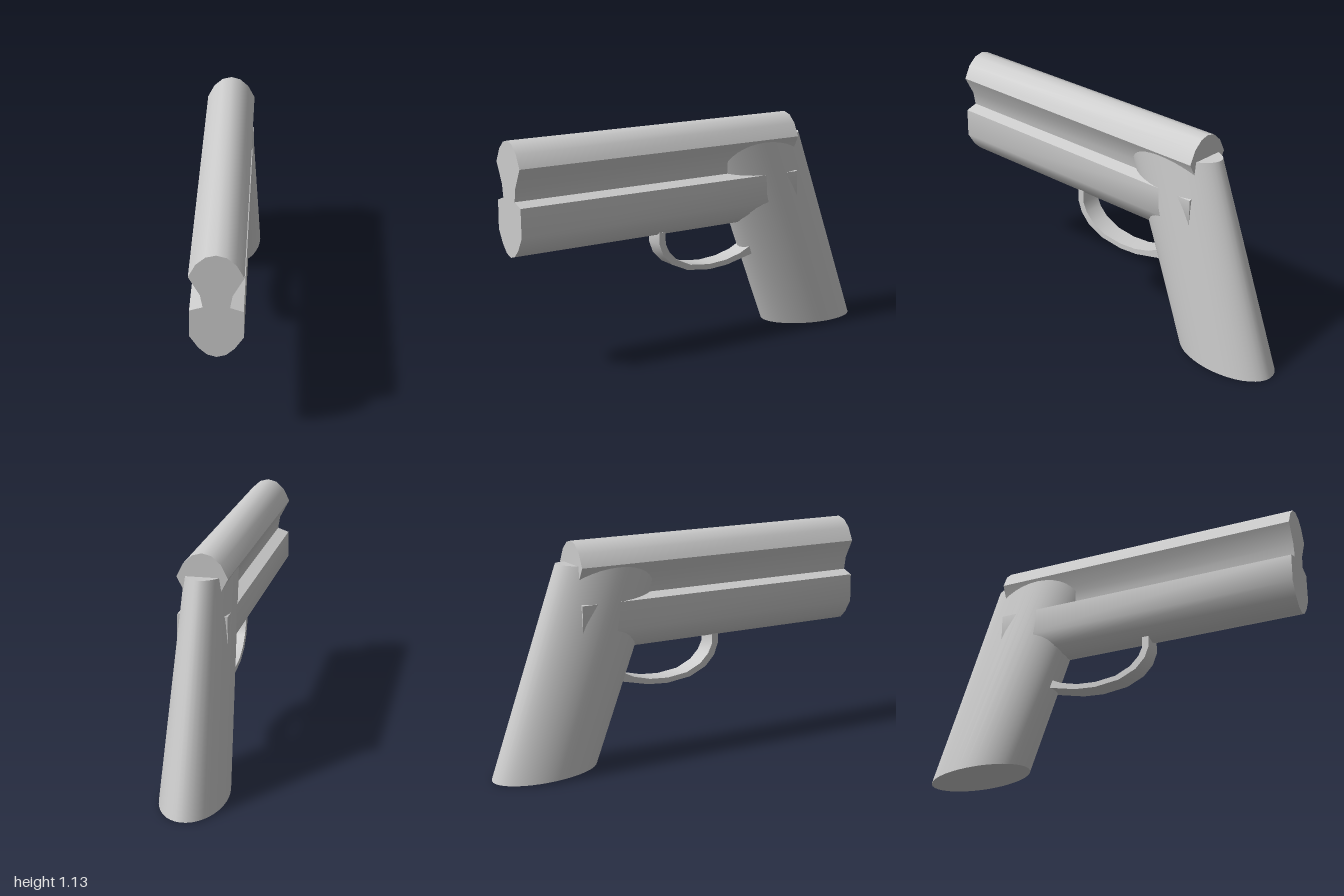
import * as THREE from 'three';
import { toCreasedNormals } from 'three/addons/utils/BufferGeometryUtils.js';

const material = new THREE.MeshStandardMaterial({ color: 0xcccccc });

function part(name, geometry, crease) {
  const mesh = new THREE.Mesh(toCreasedNormals(geometry, crease), material);
  mesh.name = name;
  return mesh;
}

function polygon(points) {
  return new THREE.Shape(points.map(([x, y]) => new THREE.Vector2(x, y)));
}

// Waisted barrel profile, mirrored and extruded front to back
function barrel() {
  const half = [[0.045, 1.123], [0.087, 1.085], [0.12, 1.02], [0.07, 0.925],
    [0.059, 0.86], [0.118, 0.84], [0.12, 0.7], [0.08, 0.635], [0.042, 0.598]];
  const mirrored = half.map(([x, y]) => [-x, y]).reverse();
  const shape = polygon([[0, 1.135], ...half, [0, 0.585], ...mirrored]);
  const geometry = new THREE.ExtrudeGeometry(shape, { depth: 1.565, bevelEnabled: false });
  geometry.translate(0, 0, -0.57);
  return part('barrel', geometry, 0.72);
}

// Raked elliptical grip, wider at the base, with slightly tilted ends
function grip() {
  const geometry = new THREE.CylinderGeometry(1, 1, 1, 40, 1);
  const pos = geometry.attributes.position;
  const lerp = THREE.MathUtils.lerp;
  for (let i = 0; i < pos.count; i++) {
    const t = pos.getY(i) + 0.5;
    const z = pos.getZ(i);
    pos.setXYZ(i,
      pos.getX(i) * lerp(0.16, 0.113, t),
      lerp(0.0175, 1.007, t) + z * lerp(0.0125, -0.0225, t),
      lerp(-0.73, -0.37, t) + z * lerp(0.27, 0.28, t));
  }
  return part('grip', geometry, 0.8);
}

// Curved strap from the barrel's underside to the grip, drawn in (z, y)
function triggerGuard() {
  const outer = [[0.222, 0.61], [0.222, 0.548], [0.2, 0.49], [0.15, 0.437], [0.06, 0.396],
    [-0.072, 0.38], [-0.18, 0.388], [-0.36, 0.43]];
  const inner = [[-0.345, 0.478], [-0.26, 0.437], [-0.17, 0.414], [-0.07, 0.407],
    [0.04, 0.42], [0.12, 0.457], [0.165, 0.502], [0.187, 0.548], [0.187, 0.61]];
  const geometry = new THREE.ExtrudeGeometry(polygon([...outer, ...inner]),
    { depth: 0.102, bevelEnabled: false });
  geometry.rotateY(-Math.PI / 2);
  geometry.translate(0.057, 0, 0);
  return part('triggerGuard', geometry, 0.7);
}

export function createModel() {
  const model = new THREE.Group();
  model.name = 'handgun';
  model.add(barrel(), grip(), triggerGuard());
  return model;
}
